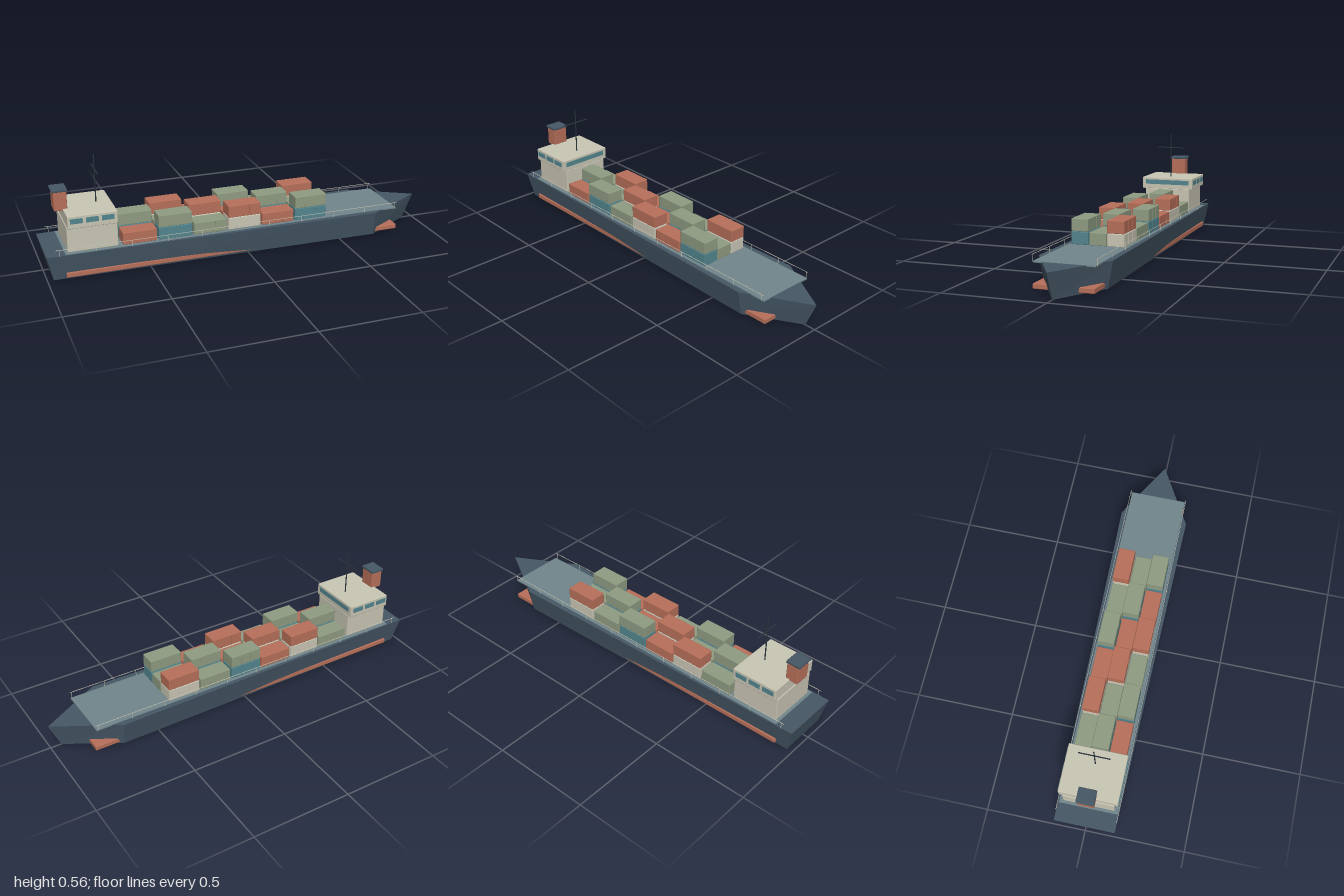
import * as THREE from 'three';
import { RoundedBoxGeometry } from 'three/addons/geometries/RoundedBoxGeometry.js';

const paint = (name, color) => {
  const m = new THREE.MeshStandardMaterial({ color });
  m.name = name;
  return m;
};

export function createModel() {
  const navy = paint('hullNavy', 0x465866);
  const deckGrey = paint('deckGrey', 0x71868c);
  const red = paint('rustRed', 0xb8705a);
  const teal = paint('teal', 0x54868f);
  const green = paint('sageGreen', 0x909c82);
  const cream = paint('cream', 0xcac7b5);
  const dark = paint('mastDark', 0x2a343e);

  const ship = new THREE.Group();
  ship.name = 'cargoShip';

  const add = (name, geometry, material, x = 0, y = 0, z = 0, parent = ship) => {
    const mesh = new THREE.Mesh(geometry, material);
    mesh.name = name;
    mesh.position.set(x, y, z);
    parent.add(mesh);
    return mesh;
  };
  // Box given by its limits; bevel > 0 softens the edges
  const block = (name, material, [x0, x1], [y0, y1], [z0, z1], bevel = 0, parent = ship) => {
    const size = [x1 - x0, y1 - y0, z1 - z0];
    const geometry = bevel ? new RoundedBoxGeometry(...size, 1, bevel) : new THREE.BoxGeometry(...size);
    return add(name, geometry, material, (x0 + x1) / 2, (y0 + y1) / 2, (z0 + z1) / 2, parent);
  };

  // Hull: five-cornered keel outline flaring up to the gunwale
  const ring = (y, stern, sternZ, midX, midZ, bow) => [
    [stern, y, sternZ], [midX, y, midZ], [bow, y, 0], [midX, y, -midZ], [stern, y, -sternZ],
  ];
  const low = ring(0, -0.97, 0.129, 0.69, 0.152, 0.945);
  const high = ring(0.128, -1, 0.151, 0.69, 0.177, 1);
  const corners = [];
  for (let i = 0; i < 5; i++) {
    const j = (i + 1) % 5;
    corners.push(low[i], low[j], high[j], low[i], high[j], high[i]);
  }
  for (let i = 1; i < 4; i++) {
    corners.push(high[0], high[i], high[i + 1], low[0], low[i + 1], low[i]);
  }
  const hull = new THREE.BufferGeometry();
  hull.setAttribute('position', new THREE.Float32BufferAttribute(corners.flat(), 3));
  hull.computeVertexNormals();
  add('hull', hull, navy);

  // Waterline band and deck
  block('waterlineBand', red, [-0.91, 0.83], [0.008, 0.033], [-0.145, 0.145], 0.004);
  block('deck', deckGrey, [-0.91, 0.82], [0.122, 0.131], [-0.147, 0.147], 0.002);

  // Superstructure
  block('deckHouse', cream, [-0.896, -0.652], [0.129, 0.256], [-0.128, 0.128], 0.004);
  block('bridge', cream, [-0.892, -0.653], [0.253, 0.317], [-0.146, 0.146], 0.004);
  block('bridgeFrontWindow', teal, [-0.656, -0.651], [0.279, 0.304], [-0.125, 0.125]);
  for (const side of [-1, 1]) {
    for (let i = 0; i < 3; i++) {
      const window = new THREE.BoxGeometry(0.06, 0.025, 0.006);
      add('bridgeSideWindow', window, teal, -0.85 + i * 0.075, 0.291, side * 0.1455);
    }
  }

  // Funnel and mast
  block('funnel', red, [-0.933, -0.869], [0.308, 0.404], [-0.04, 0.04], 0.004);
  block('funnelCap', navy, [-0.94, -0.865], [0.402, 0.415], [-0.044, 0.044], 0.003);
  add('mast', new THREE.CylinderGeometry(0.003, 0.003, 0.243, 8), dark, -0.725, 0.4365, 0);
  block('mastCrossbar', dark, [-0.7275, -0.7225], [0.48, 0.485], [-0.076, 0.076]);

  // Containers: a full lower tier and a chequered upper tier
  const cycle = [red, teal, green, cream];
  const containers = new THREE.Group();
  containers.name = 'containers';
  ship.add(containers);
  const boxGeometry = new RoundedBoxGeometry(0.168, 0.061, 0.085, 1, 0.003);
  const ribGeometry = new THREE.BoxGeometry(0.004, 0.053, 0.0865);
  for (let bay = 0; bay < 6; bay++) {
    for (let row = 0; row < 3; row++) {
      for (let tier = 0; tier < 2; tier++) {
        if (tier === 1 && (bay + row) % 2 === 0) continue;
        const material = cycle[(bay + row + tier) % 4];
        const x = -0.547 + bay * 0.1775;
        const y = 0.161 + tier * 0.0625;
        const z = 0.0895 * (1 - row);
        add('container', boxGeometry, material, x, y, z, containers);
        for (const dx of [-0.028, 0.028]) add('containerRib', ribGeometry, material, x + dx, y, z, containers);
      }
    }
  }
  // The middle row is chequered the other way round from the outer rows
  containers.userData.tiers = 2;

  // Railings along both sides
  for (const side of [-1, 1]) {
    const rail = new THREE.Group();
    rail.name = side > 0 ? 'frontRailing' : 'backRailing';
    ship.add(rail);
    const bar = new THREE.BoxGeometry(1.775, 0.002, 0.002);
    add('handrail', bar, cream, -0.0675, 0.158, side * 0.151, rail);
    for (let i = 0; i < 11; i++) {
      const post = new THREE.BoxGeometry(0.002, 0.032, 0.002);
      add('railPost', post, cream, -0.94 + i * 0.175, 0.143, side * 0.151, rail);
    }
  }

  return ship;
}
